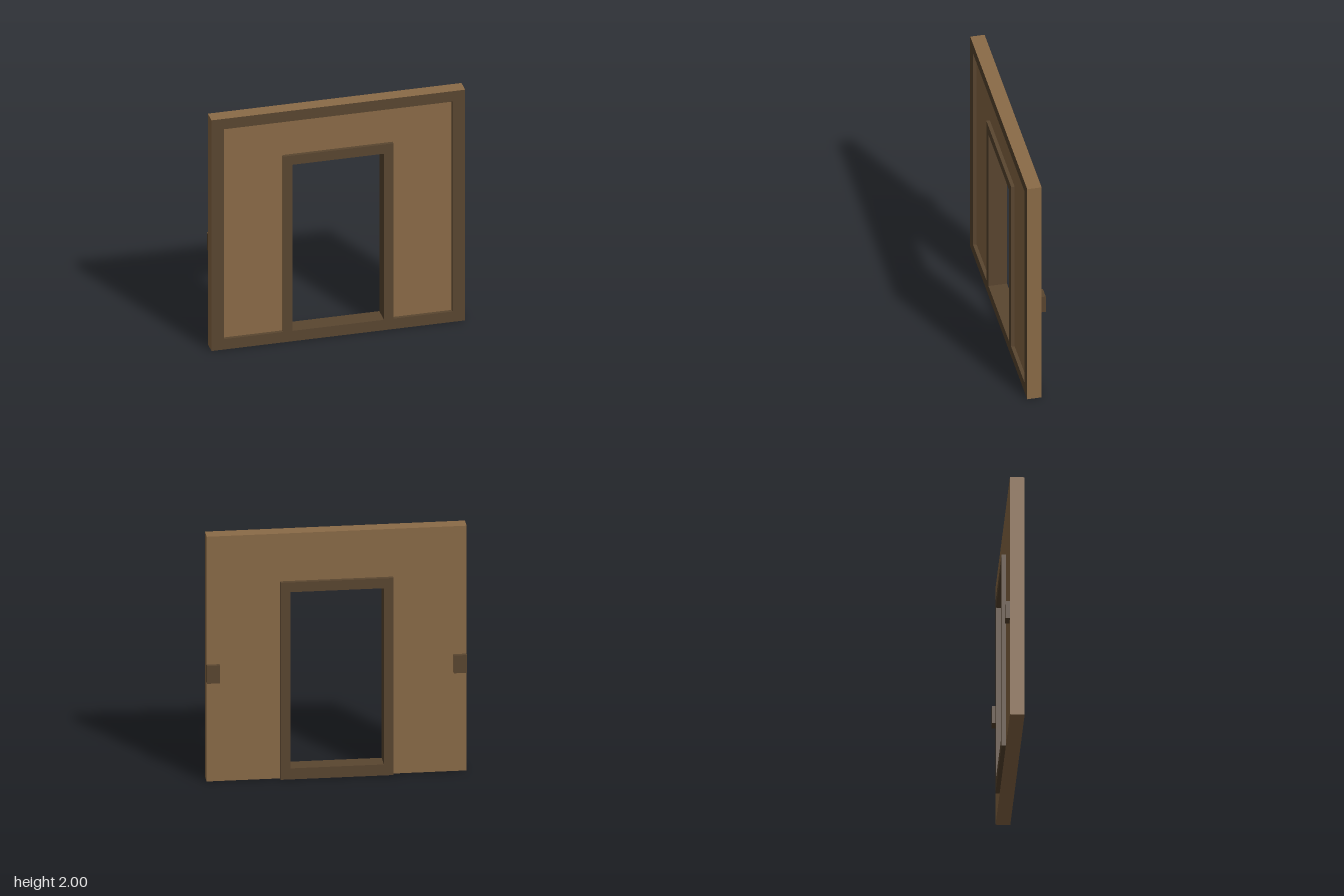
import * as THREE from 'three';

const FRONT = 0.0725, RECESS = 0.045, REAR = -0.04, BACK = -0.0725;

// Counter-clockwise rectangle, symmetric about x = 0
const rect = (w, y0, y1) => [[-w, y0], [w, y0], [w, y1], [-w, y1]];

const outer = rect(1, 0, 2);
const casing = rect(0.435, 0, 1.61);
const opening = rect(0.36, 0.09, 1.53);
// Inverted-U recess around the doorway
const recess = [[-0.9, 0.09], [-0.435, 0.09], [-0.435, 1.61], [0.435, 1.61],
  [0.435, 0.09], [0.9, 0.09], [0.9, 1.91], [-0.9, 1.91]];

const points = (loop) => loop.map(([x, y]) => new THREE.Vector2(x, y));

// Flat face with optional holes, facing +z
function face(loop, holes, z) {
  const shape = new THREE.Shape(points(loop));
  for (const h of holes) shape.holes.push(new THREE.Path(points(h)));
  return new THREE.ShapeGeometry(shape).translate(0, 0, z);
}

// Side walls along a closed loop; a counter-clockwise loop faces outward
function sides(loop, z0, z1) {
  const pos = [];
  loop.forEach(([ax, ay], i) => {
    const [bx, by] = loop[(i + 1) % loop.length];
    pos.push(ax, ay, z0, bx, by, z0, bx, by, z1, ax, ay, z0, bx, by, z1, ax, ay, z1);
  });
  const g = new THREE.BufferGeometry();
  g.setAttribute('position', new THREE.Float32BufferAttribute(pos, 3));
  g.computeVertexNormals();
  return g;
}

const reversed = (loop) => [...loop].reverse();

export function createModel() {
  const wood = new THREE.MeshStandardMaterial({ color: 0x8b6b47 });
  wood.name = 'lightWood';
  const trim = new THREE.MeshStandardMaterial({ color: 0x5a4630 });
  trim.name = 'darkTrim';

  const model = new THREE.Group();
  model.name = 'doorwayWall';
  const add = (name, geometry, material) => {
    const mesh = new THREE.Mesh(geometry, material);
    mesh.name = name;
    model.add(mesh);
    return mesh;
  };

  // Wall slab: outer edges, recessed front panel and plain back
  add('wallEdges', sides(outer, REAR, FRONT), wood);
  add('frontPanel', face(recess, [], RECESS), wood);
  add('wallBack', face(outer, [opening], -REAR).rotateY(Math.PI), wood);

  // Raised front border with the door casing
  add('frontTrim', face(outer, [recess, opening], FRONT), trim);
  add('panelReveal', sides(reversed(recess), RECESS, FRONT), trim);

  // Door lining through the whole thickness
  add('doorLining', sides(reversed(opening), BACK, FRONT), trim);

  // Raised casing on the back
  add('backCasingFace', face(casing, [opening], -BACK).rotateY(Math.PI), trim);
  add('backCasingEdges', sides(casing, BACK, REAR), trim);

  // Small blocks at both back edges
  for (const s of [-1, 1]) {
    const block = add(s > 0 ? 'leftBackBlock' : 'rightBackBlock',
      new THREE.BoxGeometry(0.1, 0.145, REAR - BACK), trim);
    block.position.set(s * 0.95, 0.8825, (REAR + BACK) / 2);
  }
  return model;
}
